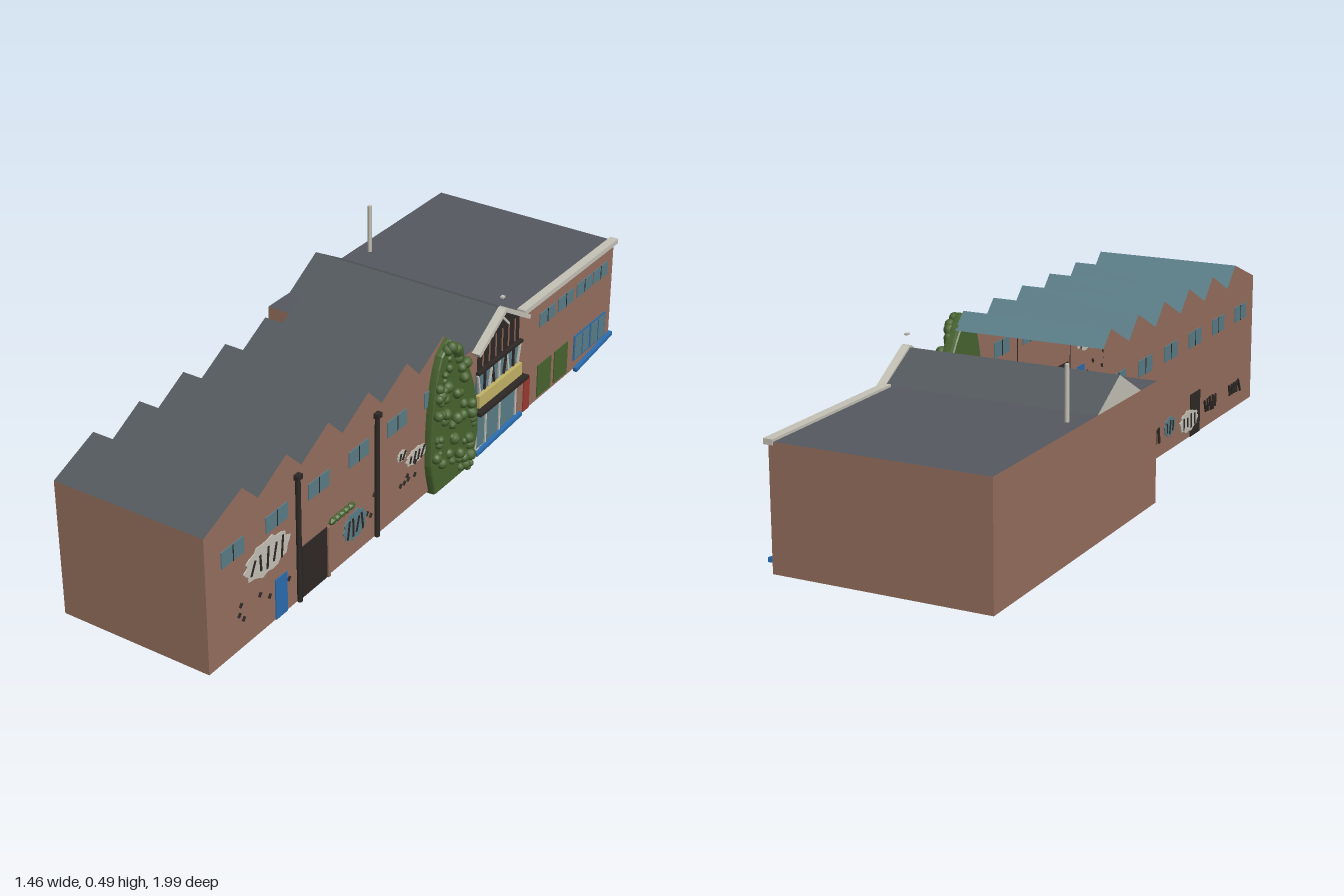
import * as THREE from 'three';

export function createModel() {
  const mat = (name, color) => {
    const m = new THREE.MeshStandardMaterial({ color, side: THREE.DoubleSide });
    m.name = name;
    return m;
  };
  const brick = mat('brick', 0x966f5e), slate = mat('slate', 0x53595d), flat = mat('flatRoofing', 0x55585f);
  const glass = mat('glass', 0x5a7d88), green = mat('green', 0x48632f), dark = mat('darkTimber', 0x2e2926);
  const white = mat('offWhite', 0xc4c1b6), blue = mat('blue', 0x2a6cb0), yellow = mat('yellow', 0xc2b366);
  const red = mat('red', 0x9a3a30);

  // Street frame: x runs along the street front, z points out to the street
  const root = new THREE.Group();
  const site = new THREE.Group();
  site.name = 'building';
  site.rotation.y = 1.0009;
  site.position.set(-0.35, 0, 0.99);
  root.add(site);

  let seed = 7;
  const rnd = () => (seed = (seed * 16807) % 2147483647) / 2147483647;
  const add = (name, geo, m, x = 0, y = 0, z = 0) => {
    const mesh = new THREE.Mesh(geo, m);
    mesh.name = name;
    mesh.position.set(x, y, z);
    site.add(mesh);
    return mesh;
  };
  const box = (name, m, u0, u1, y0, y1, z0, z1) =>
    add(name, new THREE.BoxGeometry(u1 - u0, y1 - y0, z1 - z0), m, (u0 + u1) / 2, (y0 + y1) / 2, (z0 + z1) / 2);
  // Thin plate on a wall: the street wall by default
  const plate = (name, m, u0, u1, y0, y1, wall = 0, t = 0.003) => box(name, m, u0, u1, y0, y1, wall - t, wall + t);
  // Flat wall cut from an outline, standing at depth z
  const wall = (name, pts, m, z) =>
    add(name, new THREE.ShapeGeometry(new THREE.Shape(pts.map(p => new THREE.Vector2(...p)))), m, 0, 0, z);
  // Four-cornered face
  const quad = (name, m, a, b, c, d) => {
    const g = new THREE.BufferGeometry();
    g.setAttribute('position', new THREE.Float32BufferAttribute([...a, ...b, ...c, ...a, ...c, ...d], 3));
    g.computeVertexNormals();
    return add(name, g, m);
  };
  // Surface from one profile segment, swept from zf back to zb
  const sweep = (name, m, p, q, zf, zb) =>
    quad(name, m, [p[0], p[1], zf], [q[0], q[1], zf], [q[0], q[1], zb], [p[0], p[1], zb]);
  // Bar between two points on a wall
  const bar = (name, m, x0, y0, x1, y1, w, z, depth) => {
    const b = add(name, new THREE.BoxGeometry(Math.hypot(x1 - x0, y1 - y0), w, depth), m, (x0 + x1) / 2, (y0 + y1) / 2, z);
    b.rotation.z = Math.atan2(y1 - y0, x1 - x0);
  };

  const base = 0.018, hallEnd = 1.075, hallBack = -0.447, end = 1.982, back = -0.603, top = 0.353;

  // Sawtooth hall
  const teeth = [[0, 0.405]];
  for (let i = 0; i < 6; i++) {
    const peak = 0.15 + i * 0.1755;
    teeth.push([peak, 0.465], [Math.min(peak + 0.06, hallEnd), i === 5 ? 0.42 : 0.405]);
  }
  const hallOutline = [[0, base], [hallEnd, base], ...[...teeth].reverse()];
  wall('hallStreetWall', hallOutline, brick, 0);
  wall('hallBackWall', hallOutline, brick, hallBack);
  sweep('hallEndWall', brick, [0, base], [0, 0.405], 0, hallBack);
  for (let i = 0; i < teeth.length - 1; i++)
    sweep(i % 2 ? 'roofGlazing' : 'roofSlope', i % 2 ? glass : slate, teeth[i], teeth[i + 1], 0, hallBack);

  // Flat-roofed block
  const block = [[hallEnd, base], [end, base], [end, top], [hallEnd, top]];
  wall('blockStreetWall', block, brick, 0);
  wall('blockBackWall', block, brick, back);
  sweep('blockEndWall', brick, block[1], block[2], 0, back);
  sweep('blockInnerWall', brick, block[0], block[3], 0, back);
  sweep('flatRoof', flat, block[2], block[3], 0, back);
  box('roofTrim', white, 1.44, end + 0.004, 0.345, 0.36, -0.014, 0.012);
  add('fluePipe', new THREE.CylinderGeometry(0.006, 0.006, 0.15, 10), white, 1.52, 0.425, -0.56);

  // Cross gable
  const gL = 1.178, gR = 1.437, gM = 1.308, peakY = 0.426;
  sweep('gableRoofLeft', slate, [gL, top], [gM, peakY], 0.014, back);
  sweep('gableRoofRight', slate, [gM, peakY], [gR, top], 0.014, back);
  wall('gableBackWall', [[gL, top], [gR, top], [gM, peakY]], white, back);
  wall('gableTimberWall', [[1.195, 0.27], [1.42, 0.27], [1.42, 0.362], [gM, peakY - 0.002], [1.195, 0.362]], dark, 0.006);
  for (const [x, s] of [[gL, 1], [gR, -1]]) {
    bar('bargeBoard', white, x - s * 0.006, top - 0.008, gM, peakY, 0.013, 0.016, 0.024);
    bar('gableBrace', white, gM, 0.405, gM - s * 0.045, 0.36, 0.006, 0.01, 0.006);
  }
  for (let i = 0; i < 6; i++) plate('timberBatten', brick, 1.222 + i * 0.034, 1.225 + i * 0.034, 0.285, 0.355, 0.007, 0.002);
  box('finial', white, 1.303, 1.315, 0.459, 0.464, 0.008, 0.018);

  // Balcony, canopy and shopfront under the gable
  plate('balconyGlazing', glass, 1.195, 1.42, 0.208, 0.275, 0.005);
  plate('balconyRail', dark, 1.19, 1.425, 0.272, 0.28, 0.012, 0.006);
  for (let i = 0; i < 9; i++) {
    const x = 1.205 + i * 0.0255;
    bar('balconySlat', i % 2 ? dark : white, x, 0.212, x + (i % 3 - 1) * 0.012, 0.27, 0.007, 0.011, 0.005);
  }
  box('balconyBand', yellow, 1.19, 1.42, 0.17, 0.208, 0, 0.02);
  box('canopy', dark, 1.175, 1.435, 0.155, 0.166, 0, 0.035);
  plate('shopGlass', glass, 1.195, 1.41, 0.03, 0.155, 0.004);
  for (const x of [1.192, 1.245, 1.32, 1.408]) plate('shopMullion', white, x - 0.003, x + 0.003, 0.025, 0.155, 0.008);
  plate('shopSill', white, 1.192, 1.41, 0.024, 0.031, 0.008);
  bar('blueRamp', blue, 1.185, 0.024, 1.43, 0.037, 0.011, 0.015, 0.012);

  // Upper windows of the hall, street and back
  for (const z of [0, hallBack])
    for (let i = 0; i < 6; i++) {
      const u = 0.06 + i * 0.1755;
      plate('hallWindow', glass, u, u + 0.088, 0.288, 0.334, z);
      plate('windowBar', dark, u + 0.043, u + 0.046, 0.288, 0.334, z, 0.004);
    }

  // Wall paintings: wavy patch with slanted dark strokes
  const patch = (name, m, u, y, rx, ry, z, strokes) => {
    const pts = [];
    for (let i = 0; i < 28; i++) {
      const a = i / 28 * Math.PI * 2, k = 0.92 + 0.09 * Math.sin(i * 2.3);
      pts.push(new THREE.Vector2(Math.cos(a) * rx * k, Math.sin(a) * ry * k));
    }
    if (m) add(name, new THREE.ExtrudeGeometry(new THREE.Shape(pts), { depth: 0.006, bevelEnabled: false }), m, u, y, z - 0.003);
    for (let i = 0; i < strokes; i++) {
      const x = u + ((i + 0.5) / strokes - 0.5) * rx * 1.5, h = ry * (0.4 + rnd() * 0.35), lean = (rnd() - 0.3) * 0.03;
      bar(name + 'Stroke', dark, x - lean / 2, y - h, x + lean / 2, y + h * 0.8, 0.007, z, 0.009);
    }
  };
  patch('largePainting', white, 0.238, 0.224, 0.098, 0.052, 0, 5);
  patch('bluePainting', glass, 0.612, 0.107, 0.055, 0.045, 0, 4);
  patch('smallPainting', white, 0.83, 0.2, 0.022, 0.017, 0, 2);
  patch('longPainting', white, 0.9, 0.167, 0.052, 0.025, 0, 4);
  patch('backPainting', white, 0.49, 0.07, 0.07, 0.035, hallBack, 4);
  patch('backBluePainting', glass, 0.87, 0.09, 0.055, 0.038, hallBack, 4);
  patch('backBluePainting', glass, 0.63, 0.09, 0.04, 0.03, hallBack, 3);
  for (const u of [0.14, 0.33, 0.745]) patch('backMarks', null, u, 0.085, 0.065, 0.035, hallBack, 5);
  plate('backLowWindow', glass, 0.98, 1.03, 0.065, 0.11, hallBack);
  plate('backDoor', dark, 0.41, 0.48, base, 0.145, hallBack);
  for (let i = 0; i < 16; i++) {
    const u = (i < 6 ? 0.1 + rnd() * 0.22 : 0.66 + rnd() * 0.26), y = 0.09 + rnd() * 0.06;
    bar('wallMark', dark, u, y, u + 0.008, y + 0.01, 0.007, 0, 0.008);
  }

  // Hall doors and downpipes
  plate('blueDoor', blue, 0.267, 0.315, base, 0.135);
  plate('darkGate', dark, 0.38, 0.492, base, 0.168);
  plate('gateJamb', brick, 0.486, 0.496, base, 0.168, 0.003, 0.004);
  for (let i = 0; i < 5; i++) {
    const leaf = add('doorPlanting', new THREE.IcosahedronGeometry(0.014, 0), green, 0.51 + i * 0.02, 0.176, 0.004);
    leaf.scale.set(1.2, 0.8, 0.7);
  }
  for (const u of [0.362, 0.708]) {
    add('downpipe', new THREE.CylinderGeometry(0.007, 0.007, 0.37, 8), dark, u, 0.204, 0.006);
    box('rainHead', dark, u - 0.01, u + 0.01, 0.378, 0.392, 0, 0.014);
  }

  // Block doors and windows
  for (const u of [1.545, 1.652, 1.762, 1.86]) {
    plate('upperWindow', glass, u, u + 0.088, 0.258, 0.3);
    plate('windowBar', dark, u + 0.043, u + 0.046, 0.258, 0.3, 0, 0.004);
  }
  plate('redDoor', red, 1.466, 1.5, base, 0.122);
  for (const u of [1.545, 1.643]) plate('greenDoor', green, u, u + 0.078, 0.028, 0.132);
  for (const u of [1.765, 1.862]) {
    plate('blueWindowFrame', blue, u - 0.005, u + 0.09, 0.048, 0.13);
    plate('lowerWindow', glass, u, u + 0.085, 0.053, 0.125, 0, 0.0045);
    plate('windowBar', blue, u + 0.041, u + 0.044, 0.053, 0.125, 0, 0.006);
  }
  bar('blueRail', blue, 1.755, 0.023, 1.975, 0.05, 0.012, 0.012, 0.012);

  // Ivy: rounded mass with leaf clumps
  const left = y => 1.03 - 0.082 * Math.sqrt(Math.max(0, 1 - Math.pow(Math.max(0, (y - 0.15) / 0.305), 2.2))) + (y < 0.1 ? (0.1 - y) * 0.25 : 0);
  const right = y => 1.03 + 0.15 * Math.pow(Math.max(0, 1 - Math.pow(Math.max(0, (y - 0.13) / 0.325), 1.8)), 0.8) - (y < 0.1 ? (0.1 - y) * 0.35 : 0);
  const ivy = [];
  for (let i = 0; i <= 14; i++) ivy.push(new THREE.Vector2(right(0.015 + i * 0.0314), 0.015 + i * 0.0314));
  for (let i = 13; i >= 0; i--) ivy.push(new THREE.Vector2(left(0.015 + i * 0.0314), 0.015 + i * 0.0314));
  add('ivyMass', new THREE.ExtrudeGeometry(new THREE.Shape(ivy), {
    depth: 0.014, bevelEnabled: true, bevelSize: 0.004, bevelThickness: 0.012, bevelSegments: 2 }), green, 0, 0, -0.004);
  for (let i = 0; i < 60; i++) {
    const y = 0.018 + 0.425 * ((i + rnd()) / 60), t = 0.04 + rnd() * 0.92;
    const clump = add('ivyClump', new THREE.IcosahedronGeometry(0.01 + rnd() * 0.008, 1), green,
      left(y) + (right(y) - left(y)) * t, y, 0.018 + rnd() * 0.012);
    clump.rotation.set(rnd() * 3, rnd() * 3, 0);
  }
  return root;
}
